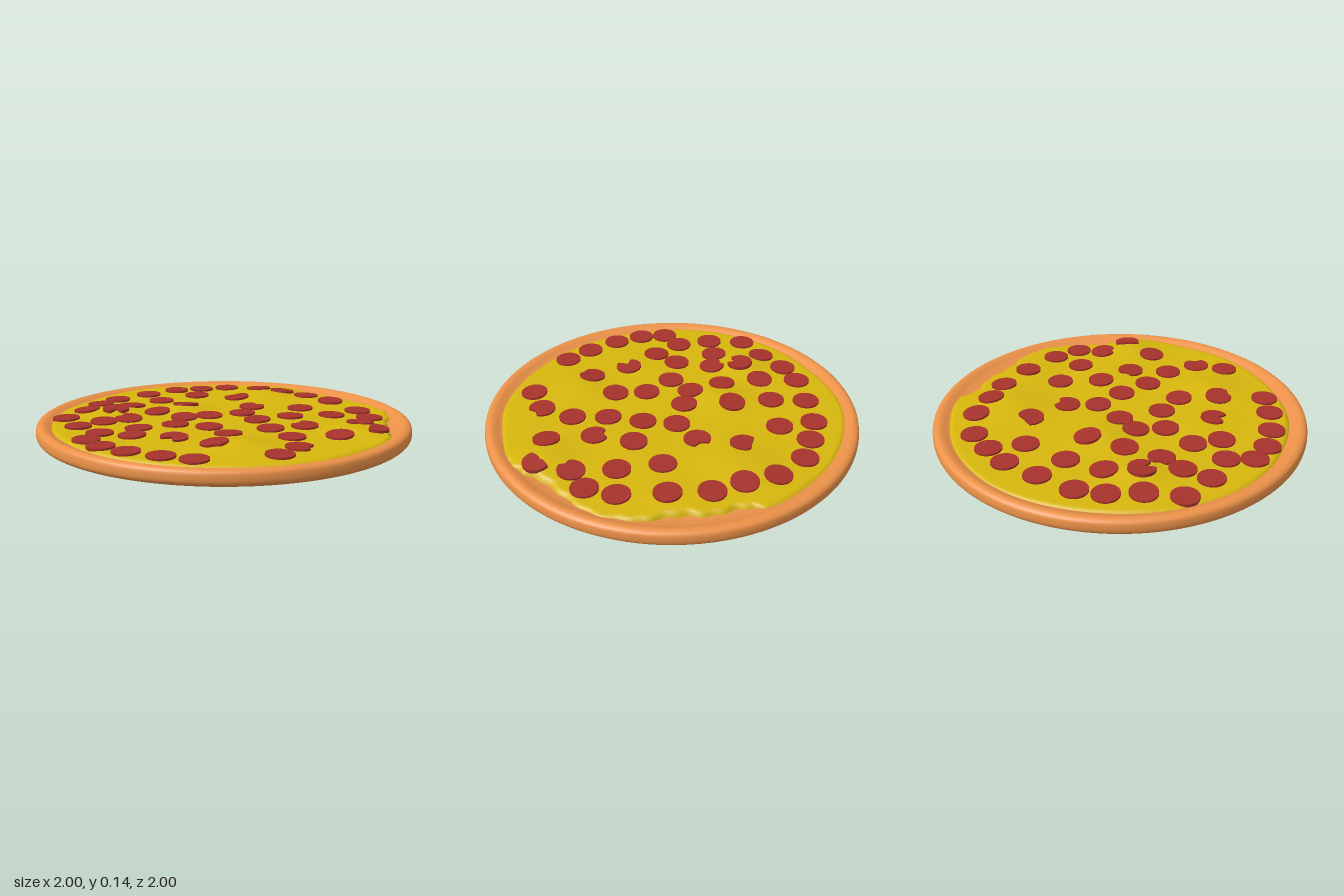
import * as THREE from 'three';

const mat = (color) => new THREE.MeshStandardMaterial({ color, roughness: 0.8 });

// Soft mounds in the melted cheese: x, z, height, spread
const MOUNDS = [
  [-0.5, -0.36, 0.024, 0.13], [0.46, -0.38, 0.024, 0.18], [0.5, 0.58, 0.024, 0.15],
  [-0.16, 0.54, 0.026, 0.15], [-0.14, -0.26, 0.026, 0.13], [0.3, 0.2, 0.01, 0.2],
  [-0.42, 0.2, 0.01, 0.14], [0.7, -0.1, 0.012, 0.14],
];
function cheeseHeight(x, z) {
  let y = 0.101 + 0.002 * Math.sin(7 * x + 2) * Math.cos(8 * z);
  for (const [mx, mz, h, w] of MOUNDS) {
    y += h * Math.exp(-((x - mx) ** 2 + (z - mz) ** 2) / (w * w));
  }
  return y;
}

// Uneven cheese outline, as x, z pairs
const OUTLINE = [
  [0.9, 0.05], [0.9, 0.25], [0.78, 0.42], [0.66, 0.56], [0.61, 0.69], [0.53, 0.78], [0.3, 0.87],
  [0.08, 0.92], [-0.2, 0.89], [-0.45, 0.79], [-0.68, 0.61], [-0.83, 0.38], [-0.92, 0.1],
  [-0.92, -0.15], [-0.8, -0.48], [-0.55, -0.74], [-0.26, -0.9], [-0.03, -0.94], [0.3, -0.88],
  [0.55, -0.74], [0.74, -0.55], [0.75, -0.42], [0.82, -0.28], [0.84, -0.12],
];

// Slice centres, as x, z pairs
const SLICES = [
  0.03, -0.76, 0.19, -0.74, 0.35, -0.71, -0.17, -0.72, -0.38, -0.67, -0.51, -0.59, -0.16, -0.53,
  0.09, -0.58, 0.51, -0.58, 0.59, -0.42, -0.63, -0.46, -0.36, -0.46, -0.78, -0.34, -0.09, -0.32,
  0.67, -0.27, -0.29, -0.25, -0.62, -0.18, -0.77, -0.14, -0.2, -0.08, -0.06, -0.06, 0.13, -0.04,
  0.48, -0.01, 0.71, -0.06, -0.71, 0.04, -0.5, 0.03, -0.3, 0.04, -0.81, 0.14, -0.58, 0.16,
  -0.16, 0.16, 0.13, 0.14, 0.32, 0.16, 0.55, 0.21, 0.74, 0.18, -0.78, 0.28, -0.13, 0.33,
  0.11, 0.33, 0.71, 0.34, -0.7, 0.42, -0.58, 0.56, -0.46, 0.67, 0.13, 0.52, 0.35, 0.61, -0.08, 0.78,
];
// Slices with a bite missing: x, z, bite direction x, z, half angle, depth
const BITTEN = [
  [-0.5, -0.34, -0.3, 1, 0.4, 0.8], [0.27, -0.4, 0.1, -1, 0.85, 0.45], [0.25, -0.16, 1, -0.5, 0.5, 0.4],
  [-0.41, 0.3, -1, 0.6, 0.55, 0.8], [-0.28, 0.49, -0.5, 1, 0.4, 0.2], [0.07, 0.7, 1, 0.9, 0.5, 0.4],
  [0.56, 0.61, -1, -0.9, 1.2, 0.7], [0.29, 0.37, -0.3, -1, 0.5, 0.35], [0.59, 0.43, -0.8, 0.8, 0.4, 0.25],
  [-0.48, -0.18, -0.6, -1, 0.4, 0.3],
];

// Bread base with a rounded raised rim and a slightly domed underside
function makeDough() {
  const rim = new THREE.SplineCurve([
    [0.93, 0.022], [0.975, 0.03], [0.997, 0.048], [1, 0.075], [0.993, 0.1], [0.97, 0.111],
    [0.945, 0.106], [0.915, 0.092], [0.87, 0.08],
  ].map(([x, y]) => new THREE.Vector2(x, y))).getPoints(32);
  const profile = [new THREE.Vector2(0, 0), new THREE.Vector2(0.5, 0.01), ...rim, new THREE.Vector2(0, 0.078)];
  const mesh = new THREE.Mesh(new THREE.LatheGeometry(profile, 128), mat(0xeb9148));
  mesh.name = 'doughBase';
  return mesh;
}

// Cheese sheet: scaled copies of the outline, raised by the mounds and rolled down at the edge
function makeCheese() {
  const n = 192, rings = 40;
  const curve = new THREE.CatmullRomCurve3(OUTLINE.map(([x, z]) => new THREE.Vector3(x, 0, z)), true);
  const edge = curve.getPoints(n).slice(0, n);
  edge.forEach((p, i) => {
    if (p.x > 0.55 && p.z > -0.55) p.multiplyScalar(1 + 0.008 * Math.sin(i * 1.1));
  });
  const pos = [0, cheeseHeight(0, 0), 0], idx = [];
  for (let r = 1; r <= rings; r++) {
    const s = 1 - (1 - r / rings) ** 1.3;
    const drop = 0.028 * Math.max(0, (s - 0.96) / 0.04) ** 3;
    for (const p of edge) pos.push(p.x * s, cheeseHeight(p.x * s, p.z * s) - drop, p.z * s);
  }
  for (let i = 0; i < n; i++) {
    const j = (i + 1) % n;
    idx.push(0, 1 + j, 1 + i);
    for (let r = 0; r < rings - 1; r++) {
      const a = 1 + r * n, b = a + n;
      idx.push(a + i, a + j, b + i, a + j, b + j, b + i);
    }
  }
  const geo = new THREE.BufferGeometry();
  geo.setAttribute('position', new THREE.Float32BufferAttribute(pos, 3));
  geo.setIndex(idx);
  geo.computeVertexNormals();
  const material = mat(0xd6b60d);
  material.side = THREE.DoubleSide;
  const mesh = new THREE.Mesh(geo, material);
  mesh.name = 'cheese';
  return mesh;
}

// Round slice, optionally with a notch cut in from one side
function sliceGeometry(dx = 0, dz = 0, half = 0, depth = 0) {
  const R = 0.071, n = 48, dir = Math.atan2(-dz, dx), pts = [];
  for (let i = 0; i < n; i++) {
    const a = (i / n) * Math.PI * 2;
    const off = Math.abs(Math.atan2(Math.sin(a - dir), Math.cos(a - dir)));
    const r = off < half ? R * (1 - depth * Math.sqrt(1 - off / half)) : R;
    pts.push(new THREE.Vector2(Math.cos(a) * r, Math.sin(a) * r));
  }
  const geo = new THREE.ExtrudeGeometry(new THREE.Shape(pts), { depth: 0.02, bevelEnabled: false });
  return geo.translate(0, 0, -0.011).rotateX(-Math.PI / 2);
}

export function createModel() {
  const group = new THREE.Group();
  group.name = 'pizza';
  group.add(makeDough(), makeCheese());

  const slices = new THREE.Group();
  slices.name = 'sausageSlices';
  group.add(slices);
  const red = mat(0xa6322b), up = new THREE.Vector3(0, 1, 0), whole = sliceGeometry();

  // Lay each slice on the cheese, tilted to its slope
  const place = (geo, x, z) => {
    const e = 0.05;
    const sx = (cheeseHeight(x + e, z) - cheeseHeight(x - e, z)) / (2 * e);
    const sz = (cheeseHeight(x, z + e) - cheeseHeight(x, z - e)) / (2 * e);
    const slice = new THREE.Mesh(geo, red);
    slice.name = 'sausageSlice';
    slice.position.set(x, cheeseHeight(x, z) + 0.001, z);
    slice.quaternion.setFromUnitVectors(up, new THREE.Vector3(-sx, 1, -sz).normalize());
    slices.add(slice);
  };
  for (let i = 0; i < SLICES.length; i += 2) place(whole, SLICES[i], SLICES[i + 1]);
  for (const [x, z, ...bite] of BITTEN) place(sliceGeometry(...bite), x, z);
  return group;
}
